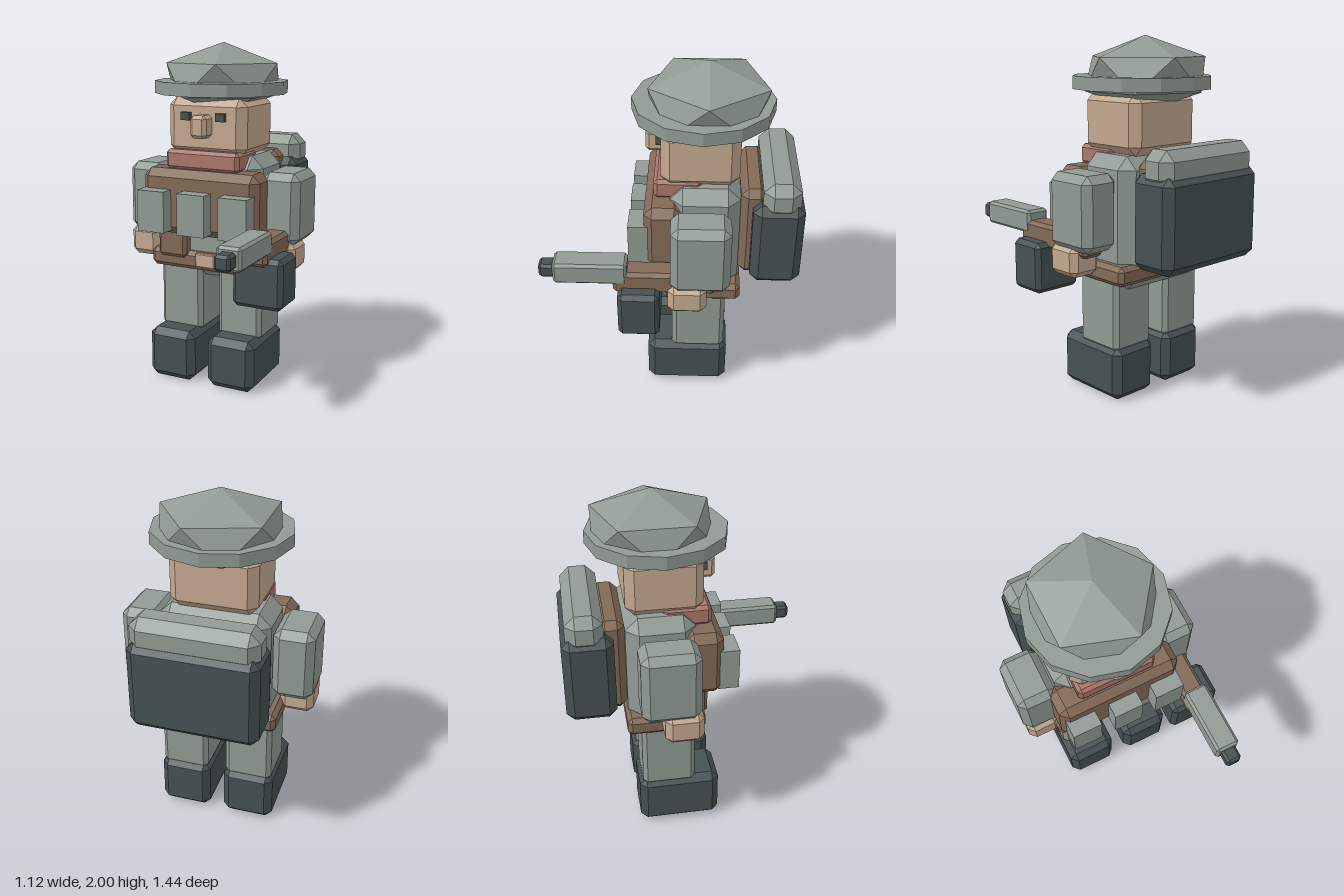
import * as THREE from 'three';
import { ConvexGeometry } from 'three/addons/geometries/ConvexGeometry.js';

const CX = -0.017; // mid-plane of the body

function makeMaterial(name, color) {
  const m = new THREE.MeshStandardMaterial({ color });
  m.name = name;
  return m;
}

// Box between two limits per axis with every edge cut at 45 degrees by c
function chamferBox([x0, x1], [y0, y1], [z0, z1], c) {
  const h = [(x1 - x0) / 2, (y1 - y0) / 2, (z1 - z0) / 2];
  const points = [];
  for (const sx of [-1, 1]) for (const sy of [-1, 1]) for (const sz of [-1, 1])
    for (let face = 0; face < 3; face++) {
      const p = h.map((v, i) => (i === face ? v : v - c));
      points.push(new THREE.Vector3(sx * p[0], sy * p[1], sz * p[2]));
    }
  return new ConvexGeometry(points).translate((x0 + x1) / 2, (y0 + y1) / 2, (z0 + z1) / 2);
}

function plainBox([x0, x1], [y0, y1], [z0, z1]) {
  return new THREE.BoxGeometry(x1 - x0, y1 - y0, z1 - z0)
    .translate((x0 + x1) / 2, (y0 + y1) / 2, (z0 + z1) / 2);
}

// Flattened icosahedron standing on a pole, one upper corner toward +x
function crownShape(r, ry) {
  const points = [new THREE.Vector3(0, ry, 0), new THREE.Vector3(0, -ry, 0)];
  const ringY = ry / Math.sqrt(5), ringR = (2 * r) / Math.sqrt(5);
  for (let i = 0; i < 10; i++) {
    const a = (i * Math.PI) / 5;
    points.push(new THREE.Vector3(ringR * Math.cos(a), i % 2 ? -ringY : ringY, ringR * Math.sin(a)));
  }
  return new ConvexGeometry(points);
}

export function createModel() {
  const model = new THREE.Group();
  model.name = 'soldier';
  const cloth = makeMaterial('greyGreenCloth', 0x919b94);
  const dark = makeMaterial('darkSlate', 0x465151);
  const leather = makeMaterial('brownLeather', 0x826a56);
  const skin = makeMaterial('skin', 0xc5a990);
  const red = makeMaterial('redScarf', 0xaa776b);

  const add = (name, material, geometry) => {
    const mesh = new THREE.Mesh(geometry, material);
    mesh.name = name;
    model.add(mesh);
    return mesh;
  };
  const block = (name, material, x, y, z, c) =>
    add(name, material, c ? chamferBox(x, y, z, c) : plainBox(x, y, z));
  // Range of half-width w about the mid-plane
  const mid = (w) => [CX - w, CX + w];

  // Mirrored limbs, eyes and straps; a..b is the distance from the mid-plane
  for (const [side, s] of [['left', 1], ['right', -1]]) {
    const span = (a, b) => (s > 0 ? [CX + a, CX + b] : [CX - b, CX - a]);
    block(side + 'Boot', dark, span(0.043, 0.342), [0, 0.31], [-0.33, 0.14], 0.04);
    block(side + 'Leg', cloth, span(0.055, 0.33), [0.28, 0.72], [-0.31, -0.005], 0.025);
    block(side + 'Arm', cloth, span(0.32, 0.548), [0.875, 1.29], [-0.325, 0], 0.042);
    block(side + 'Hand', skin, span(0.342, 0.535), [0.72, 0.9], [-0.2, 0.015], 0.035);
    block(side + 'Strap', leather, span(0.12, 0.307), [0.75, 1.0], [-0.05, 0.07], 0.02);
    block(side + 'Eye', dark, span(0.082, 0.137), [1.57, 1.615], [0.03, 0.09]);
  }

  // Torso, belt and vest
  block('torso', cloth, mid(0.315), [0.63, 1.37], [-0.375, 0.01], 0.07);
  block('belt', leather, mid(0.367), [0.68, 0.79], [-0.39, 0.05], 0.025);
  block('buckle', skin, [-0.08, 0.045], [0.705, 0.787], [0.03, 0.06], 0.005);
  block('vest', leather, mid(0.366), [0.91, 1.29], [-0.06, 0.15], 0.045);
  for (const i of [-1, 0, 1]) {
    const x = CX + i * 0.257;
    block('pouch', cloth, [x - 0.086, x + 0.086], [0.935, 1.175], [0.12, 0.237]);
  }
  block('scarf', red, [-0.25, 0.212], [1.285, 1.4], [-0.16, 0.1], 0.02);

  // Head
  block('head', skin, mid(0.246), [1.365, 1.7], [-0.365, 0.06], 0.05);
  block('nose', skin, [-0.068, 0.032], [1.475, 1.605], [0.0, 0.15], 0.02);

  // Hat
  const brim = new THREE.CylinderGeometry(0.387, 0.387, 0.072, 12).toNonIndexed();
  brim.computeVertexNormals();
  add('hatBrim', cloth, brim).position.set(CX, 1.748, -0.163);
  add('hatCrown', cloth, crownShape(0.375, 0.208)).position.set(CX, 1.792, -0.19);

  // Backpack
  block('packFrame', leather, mid(0.265), [0.8, 1.36], [-0.52, -0.375], 0.04);
  block('pack', dark, mid(0.358), [0.8, 1.31], [-0.72, -0.44], 0.045);
  block('bedroll', cloth, mid(0.35), [1.24, 1.44], [-0.695, -0.49], 0.055);

  // Gun carried under the left arm
  block('gunStock', leather, [0.345, 0.48], [0.835, 0.97], [-0.25, 0.315], 0.02);
  block('gunBarrel', cloth, [0.343, 0.482], [0.895, 1.025], [0.235, 0.64], 0.015);
  block('gunMuzzle', dark, [0.368, 0.457], [0.915, 1.0], [0.6, 0.72], 0.015);
  block('gunMagazine', dark, [0.265, 0.56], [0.588, 0.875], [0.057, 0.287], 0.025);

  return model;
}
